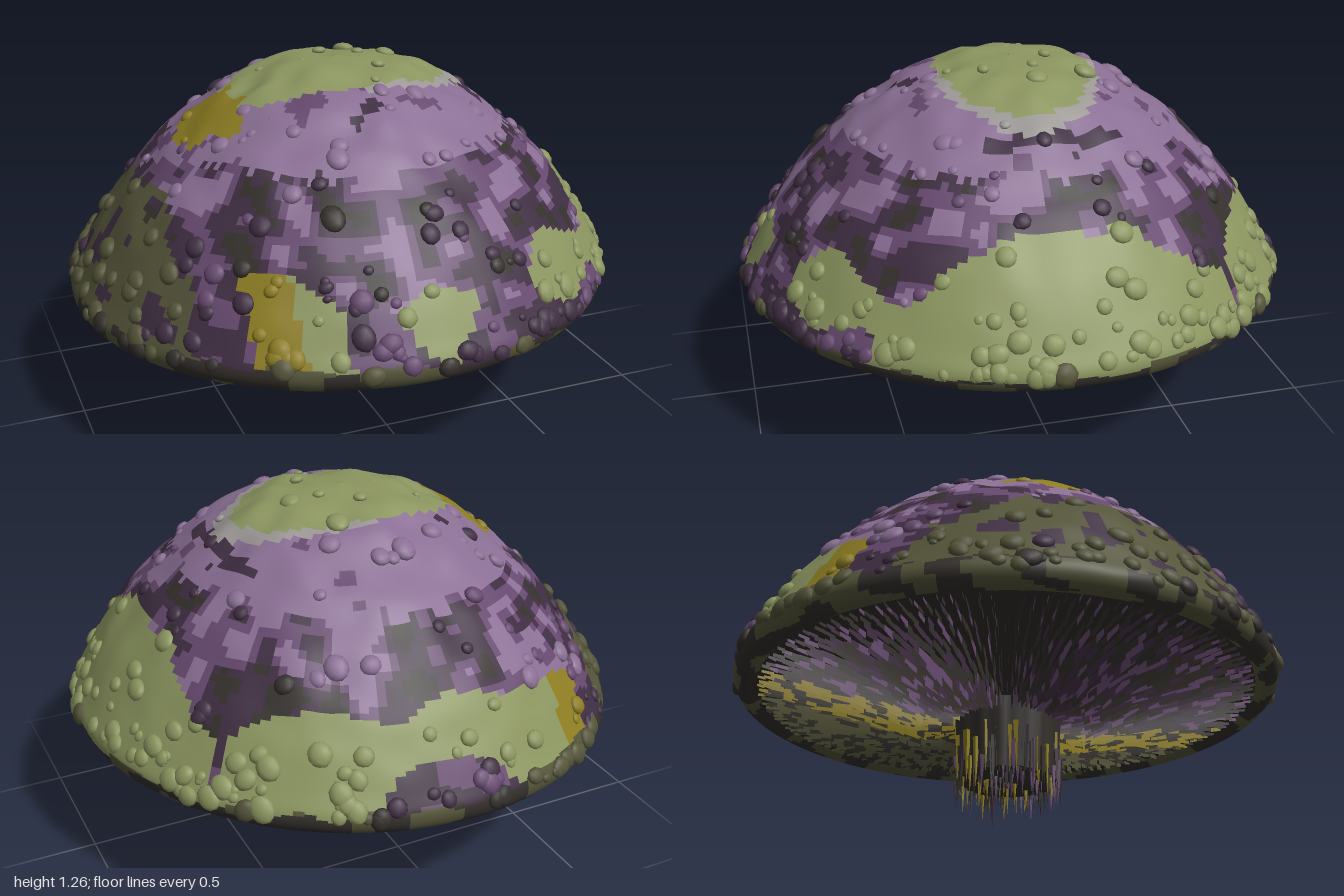
import * as THREE from 'three';
import { mergeGeometries } from 'three/addons/utils/BufferGeometryUtils.js';

const COLORS = {
  olive: 0x8b955f, darkOlive: 0x55553a, shadow: 0x34302c, lilac: 0x8a6f94,
  purple: 0x66496f, plum: 0x3f2e42, pale: 0x9b9896, yellow: 0x8d7d22,
};

// seeded random numbers and smooth value noise
let seed = 7;
const rand = (a = 0, b = 1) => {
  seed = (seed * 16807) % 2147483647;
  return a + (b - a) * seed / 2147483647;
};
const hash = (x, y, z) => {
  const s = Math.sin(x * 127.1 + y * 311.7 + z * 74.7) * 43758.5453;
  return s - Math.floor(s);
};
function noise(x, y, z) {
  const c = [x, y, z].map(Math.floor);
  const f = [x - c[0], y - c[1], z - c[2]].map(t => t * t * (3 - 2 * t));
  let sum = 0;
  for (let k = 0; k < 8; k++) {
    const b = [k & 1, (k >> 1) & 1, k >> 2];
    const w = b.reduce((p, on, i) => p * (on ? f[i] : 1 - f[i]), 1);
    sum += w * hash(c[0] + b[0], c[1] + b[1], c[2] + b[2]);
  }
  return sum;
}

// cap outline from crown to rim, and the underside from rim to stem
const v2 = a => a.map(([x, y]) => new THREE.Vector2(x, y));
const capCurve = new THREE.SplineCurve(v2([[0.001, 1.25], [0.2, 1.23], [0.4, 1.15], [0.61, 1.005],
  [0.79, 0.82], [0.89, 0.68], [0.96, 0.56], [0.995, 0.49], [0.985, 0.44], [0.95, 0.42], [0.91, 0.44]]));
const underCurve = new THREE.SplineCurve(v2([[0.91, 0.44], [0.75, 0.425], [0.5, 0.395], [0.3, 0.37], [0.15, 0.39]]));
const tilt = (x, z) => 0.022 * x + 0.012 * z;

function onCurve(curve, t, a) {
  const p = curve.getPoint(t), x = p.x * Math.cos(a), z = p.x * Math.sin(a);
  return new THREE.Vector3(x, p.y + tilt(x, z), z);
}

// colour zones on top of the cap
function capZone(p) {
  const fine = noise(p.x * 11 + 5, p.y * 11, p.z * 11 + 9);
  const broad = noise(p.x * 4 + 20, p.y * 4, p.z * 4 + 3);
  const r = Math.hypot(p.x, p.z) + (fine - 0.5) * 0.1;
  const crown = Math.hypot((p.x + 0.02) / 0.43, p.z / 0.27) + (fine - 0.5) * 0.12;
  if (p.y > 0.9) {
    if (Math.hypot((p.x + 0.5) / 0.11, p.z / 0.19) + (fine - 0.5) < 1) return 'yellow';
    if (crown < 1) return 'olive';
    if (crown < 1.13 && p.x > 0) return 'pale';
    if (Math.abs(p.x - 0.48) < 0.025 && Math.abs(p.z) < 0.2) return 'plum';
  }
  if (p.y < 0.5 + (fine - 0.5) * 0.06) return fine > 0.55 ? 'darkOlive' : 'shadow';
  if (p.x > 0.74 + (fine - 0.5) * 0.07) return 'olive';
  if (p.x < -0.72 + (fine - 0.5) * 0.12) return fine > 0.68 ? 'plum' : 'darkOlive';
  if (p.y < 0.7 + (broad - 0.5) * 0.25) {
    if (p.x > -0.58 && p.x < -0.44) return 'yellow';
    if (p.x > -0.5 && broad > 0.4) return 'olive';
    return fine > 0.5 ? 'purple' : 'plum';
  }
  if (r < 0.6) return fine > 0.74 ? 'purple' : fine < 0.17 ? 'plum' : 'lilac';
  return fine > 0.66 ? 'lilac' : fine > 0.5 ? 'purple' : fine > 0.3 ? 'plum' : 'shadow';
}

// colour zones below: olive on the left, a yellow stripe, purple on the right
function underZone(p) {
  const n = rand();
  if (Math.abs(p.x - 0.12) < 0.13 && n > 0.35) return 'yellow';
  if (p.x > 0.1) return n > 0.35 ? 'darkOlive' : 'shadow';
  return n > 0.75 ? 'purple' : n > 0.5 ? 'plum' : 'shadow';
}

function material(zone, side = THREE.FrontSide, flat = false) {
  return new THREE.MeshStandardMaterial({ color: COLORS[zone], side, flatShading: flat });
}
const bucket = (map, key, ...items) => (map[key] ??= []).push(...items);

// one closed ring grid, split into a mesh per colour zone
function capSurface() {
  const group = new THREE.Group(), rows = 84, cols = 168, pts = [], index = [], zones = {};
  group.name = 'cap';
  for (let i = 0; i <= rows; i++) for (let j = 0; j < cols; j++) {
    const t = i / rows, p = onCurve(capCurve, t, j / cols * Math.PI * 2);
    const lump = noise(p.x * 9, p.y * 9, p.z * 9) - 0.5;
    p.y += lump * 0.045 * Math.min(1, t * 8) * Math.max(0, 1 - t * 1.15);
    pts.push(p);
  }
  for (let i = 0; i < rows; i++) for (let j = 0; j < cols; j++) {
    const a = i * cols + j, b = i * cols + (j + 1) % cols, c = a + cols, d = b + cols;
    const tris = [a, b, c, b, d, c];
    index.push(...tris);
    bucket(zones, capZone(pts[a].clone().add(pts[d]).multiplyScalar(0.5)), ...tris);
  }
  const whole = new THREE.BufferGeometry().setFromPoints(pts);
  whole.setIndex(index);
  whole.computeVertexNormals();
  for (const zone in zones) {
    const part = new THREE.BufferGeometry();
    part.setAttribute('position', whole.attributes.position);
    part.setAttribute('normal', whole.attributes.normal);
    part.setIndex(zones[zone]);
    const mesh = new THREE.Mesh(part, material(zone));
    mesh.name = 'capSkin_' + zone;
    group.add(mesh);
  }
  return group;
}

function mergedByZone(name, zones, side, flat) {
  const group = new THREE.Group();
  group.name = name;
  for (const zone in zones) {
    const mesh = new THREE.Mesh(mergeGeometries(zones[zone]), material(zone, side, flat));
    mesh.name = name + '_' + zone;
    group.add(mesh);
  }
  return group;
}

// flattened warts lying on the cap
function warts() {
  const zones = {}, up = new THREE.Vector3(0, 1, 0);
  for (let k = 0; k < 330; k++) {
    const t = 0.06 + 0.66 * Math.sqrt(rand()), a = rand(0, Math.PI * 2);
    const p = onCurve(capCurve, t, a), tan = capCurve.getTangent(t);
    const normal = new THREE.Vector3(-tan.y * Math.cos(a), tan.x, -tan.y * Math.sin(a));
    const s = rand(0.016, 0.042);
    const q = new THREE.Quaternion().setFromUnitVectors(up, normal);
    const m = new THREE.Matrix4().compose(p, q, new THREE.Vector3(s, s * 0.55, s * rand(0.8, 1.2)));
    bucket(zones, capZone(p), new THREE.IcosahedronGeometry(1, 1).applyMatrix4(m));
  }
  return mergedByZone('warts', zones);
}

// radial blades with a ragged lower edge
function gills() {
  const zones = {}, count = 130, steps = 14;
  for (let k = 0; k < count; k++) {
    const a = k / count * Math.PI * 2, start = k % 2 ? 0 : 0.02;
    const end = k % 2 ? 0.72 : 0.95;
    for (let i = 0; i < steps; i++) {
      const t0 = start + (end - start) * i / steps, t1 = start + (end - start) * (i + 1.25) / steps;
      const wob = rand(-0.012, 0.012);
      const p = onCurve(underCurve, t0, a + wob), q = onCurve(underCurve, Math.min(t1, 1), a + wob);
      const deep = 0.012 + 0.035 * Math.min(1, t0 * 1.6);
      const lp = p.clone(), lq = q.clone();
      lp.y -= deep * rand(0.6, 1.0);
      lq.y -= deep * rand(0.8, 1.35);
      const g = new THREE.BufferGeometry().setFromPoints([p, q, lp, q, lq, lp]);
      g.computeVertexNormals();
      bucket(zones, underZone(p), g);
    }
  }
  return mergedByZone('gills', zones, THREE.DoubleSide, true);
}

// frayed fibres hanging around and under the stem
function stemFibres() {
  const zones = {};
  for (let k = 0; k < 150; k++) {
    const a = k * 2.39996, r = k < 95 ? rand(0.165, 0.19) : 0.16 * Math.sqrt(rand());
    const tip = k === 0 ? 0 : rand(0.015, 0.11), top = tip + rand(0.12, 0.2);
    const g = new THREE.ConeGeometry(rand(0.008, 0.016), top - tip, 4, 1);
    g.rotateX(Math.PI).rotateY(a).translate(r * Math.cos(a) + 0.01, (top + tip) / 2, r * Math.sin(a) + 0.01);
    const n = rand();
    bucket(zones, n > 0.8 ? 'yellow' : n > 0.55 ? 'purple' : n > 0.4 ? 'plum' : 'shadow', g);
  }
  return mergedByZone('stemFibres', zones, THREE.FrontSide, true);
}

export function createModel() {
  const model = new THREE.Group();
  model.add(capSurface(), warts(), gills(), stemFibres());

  // underside that carries the gills
  const under = new THREE.LatheGeometry(underCurve.getPoints(20), 96), pos = under.attributes.position;
  for (let i = 0; i < pos.count; i++) pos.setY(i, pos.getY(i) + tilt(pos.getX(i), pos.getZ(i)));
  under.computeVertexNormals();
  const underside = new THREE.Mesh(under, material('shadow', THREE.DoubleSide));
  underside.name = 'underside';

  // ribbed stem core
  const core = new THREE.CylinderGeometry(0.195, 0.175, 0.3, 48, 4), cp = core.attributes.position;
  for (let i = 0; i < cp.count; i++) {
    const s = 1 + 0.04 * Math.sin(Math.atan2(cp.getZ(i), cp.getX(i)) * 16);
    cp.setXYZ(i, cp.getX(i) * s, cp.getY(i), cp.getZ(i) * s);
  }
  core.computeVertexNormals();
  const stem = new THREE.Mesh(core, material('shadow'));
  stem.name = 'stem';
  stem.position.set(0.01, 0.27, 0.01);

  model.add(underside, stem);
  return model;
}
